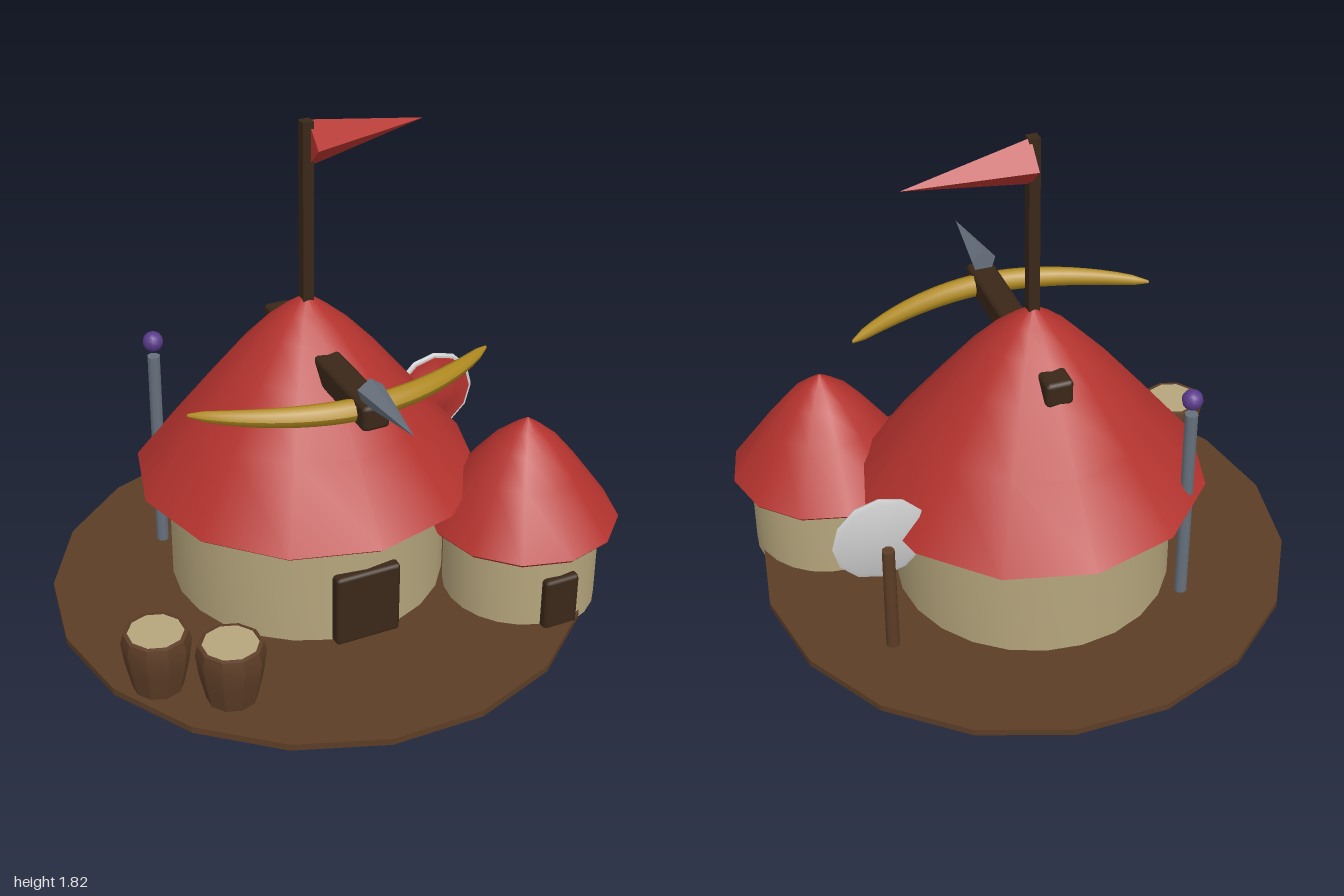
import * as THREE from 'three';
import { toCreasedNormals } from 'three/addons/utils/BufferGeometryUtils.js';
import { RoundedBoxGeometry } from 'three/addons/geometries/RoundedBoxGeometry.js';

const RED = 0xb5332e, PLASTER = 0xb5a57c, EARTH = 0x5c3d26, WOOD = 0x3a2718;
const GOLD = 0xb08a20, STEEL = 0x66707c, PURPLE = 0x5a3a8a, PALE = 0xcccccc;

export function createModel() {
  const model = new THREE.Group();

  function add(name, geometry, color, x = 0, y = 0, z = 0, parent = model) {
    const material = new THREE.MeshStandardMaterial({ color });
    const mesh = new THREE.Mesh(geometry, material);
    mesh.name = name;
    mesh.position.set(x, y, z);
    parent.add(mesh);
    return mesh;
  }
  // Turned solid; profile runs from the bottom axis outwards and up
  function turned(points, sides, crease = 0.6) {
    const profile = points.map(([r, y]) => new THREE.Vector2(r, y));
    return toCreasedNormals(new THREE.LatheGeometry(profile, sides), crease);
  }
  const chamferBox = (w, h, d, r) => new RoundedBoxGeometry(w, h, d, 1, r);

  // Ground disc, vertices on the x axis
  const ground = add('ground', turned([[0, 0], [0.987, 0.012], [0.987, 0.037], [0, 0.037]], 18, 0.3), EARTH, -0.013);
  ground.rotation.y = Math.PI / 2;

  // Huts: round wall, twelve-sided curved roof, door
  function hut(name, x, z, wallRadius, wallBottom, wallTop, roof, door) {
    const group = new THREE.Group();
    group.name = name;
    group.position.set(x, 0, z);
    model.add(group);
    add('wall', turned([[0, wallBottom], [wallRadius, wallBottom], [wallRadius, wallTop], [0, wallTop]], 24), PLASTER, 0, 0, 0, group);
    add('roof', turned(roof, 12), RED, 0, 0, 0, group);
    const [w, bottom, top] = door;
    add('door', chamferBox(w, top - bottom, 0.06, 0.014), WOOD, 0, (bottom + top) / 2, wallRadius - 0.005, group);
  }
  hut('mainHut', -0.015, -0.09, 0.51, 0.012, 0.462,
    [[0, 0.455], [0.61, 0.455], [0.631, 0.472], [0.43, 0.727], [0.27, 0.925], [0.16, 1.043], [0.08, 1.112], [0, 1.17]],
    [0.25, 0.03, 0.316]);
  hut('smallHut', 0.645, 0.362, 0.283, 0.005, 0.34,
    [[0, 0.33], [0.34, 0.33], [0.35, 0.342], [0.2, 0.548], [0.12, 0.646], [0.055, 0.702], [0, 0.742]],
    [0.135, 0.02, 0.235]);

  // Flagpole and a four-sided pennant
  add('flagpole', new THREE.BoxGeometry(0.04, 0.75, 0.04), WOOD, -0.015, 1.44, -0.085);
  const pennant = new THREE.ConeGeometry(0.085, 0.46, 4).toNonIndexed();
  pennant.rotateZ(-Math.PI / 2);
  const pp = pennant.attributes.position;
  for (let i = 0; i < pp.count; i++) {
    if (pp.getX(i) > 0.1) pp.setZ(i, -0.045); // tip blown backwards
  }
  pennant.computeVertexNormals();
  add('flag', pennant, RED, 0.225, 1.73, -0.09);

  // Giant crossbow through the roof
  add('crossbowStock', chamferBox(0.102, 0.095, 0.84, 0.016), WOOD, -0.016, 0.967, 0.063);
  const bow = new THREE.CylinderGeometry(1, 1, 2, 8, 24);
  bow.rotateZ(Math.PI / 2);
  const bp = bow.attributes.position;
  for (let i = 0; i < bp.count; i++) {
    const u = bp.getX(i);
    const thick = 0.006 + 0.035 * Math.sqrt(Math.max(0, 1 - u * u));
    bp.setXYZ(i, u * 0.567, bp.getY(i) * thick, 0.2 - 0.2 * Math.pow(Math.abs(u), 1.9) + bp.getZ(i) * thick);
  }
  bow.computeVertexNormals();
  add('crossbowBow', bow, GOLD, -0.014, 0.966, 0.2);
  const tip = new THREE.ConeGeometry(0.049, 0.32, 5).toNonIndexed();
  tip.rotateY(Math.PI);
  tip.rotateX(Math.PI / 2);
  tip.computeVertexNormals();
  add('boltHead', tip, STEEL, -0.016, 1.042, 0.585);

  // Target shield on its post: pale back, domed red front
  add('shieldPost', new THREE.CylinderGeometry(0.023, 0.025, 0.44, 8), EARTH, 0.613, 0.25, -0.357);
  const shield = new THREE.Group();
  shield.name = 'shield';
  shield.position.set(0.627, 0.495, -0.32);
  shield.rotation.x = Math.PI / 2;
  model.add(shield);
  add('shieldBack', turned([[0, -0.008], [0.155, -0.004], [0.172, 0.004], [0.165, 0.016], [0, 0.016]], 12), PALE, 0, 0, 0, shield);
  add('shieldFront', turned([[0, 0.012], [0.158, 0.012], [0.155, 0.019], [0.09, 0.024], [0.08, 0.03], [0, 0.034]], 12), RED, 0, 0, 0, shield);

  // Staff with a ball at the back
  add('staff', new THREE.CylinderGeometry(0.024, 0.024, 0.82, 8), STEEL, -0.465, 0.43, -0.45);
  add('staffBall', new THREE.SphereGeometry(0.038, 10, 8), PURPLE, -0.465, 0.9, -0.45);

  // Barrels with pale lids
  for (const [x, z] of [[-0.79, 0.375], [-0.583, 0.54]]) {
    const barrel = new THREE.Group();
    barrel.name = 'barrel';
    barrel.position.set(x, 0.03, z);
    model.add(barrel);
    add('barrelBody', turned([[0, 0], [0.088, 0], [0.112, 0.11], [0.122, 0.19], [0.113, 0.23], [0.1, 0.234], [0.098, 0.226], [0, 0.226]], 10, 0.4), EARTH, 0, 0, 0, barrel);
    add('barrelLid', new THREE.CylinderGeometry(0.098, 0.098, 0.014, 10), PLASTER, 0, 0.225, 0, barrel);
  }
  return model;
}
